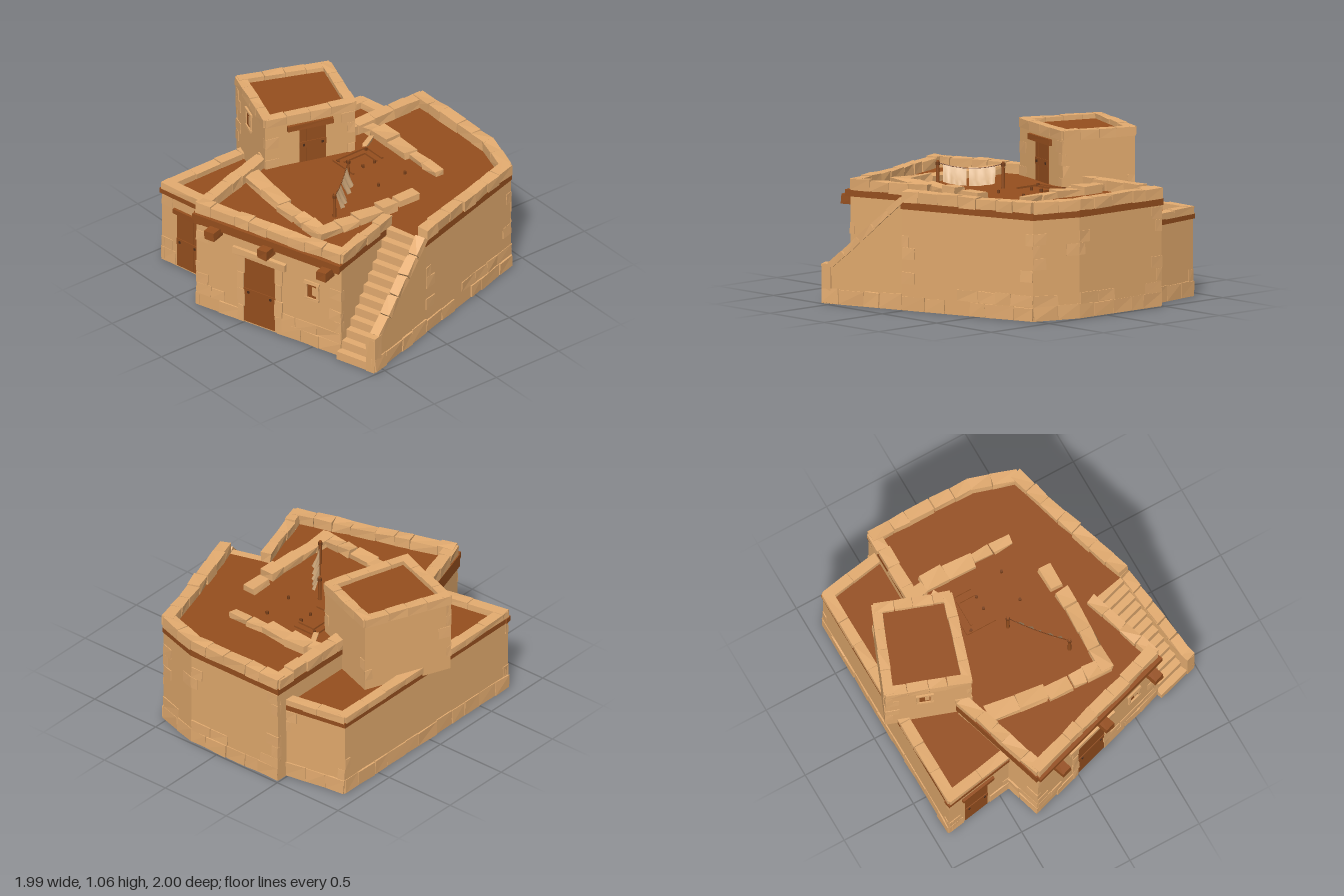
import * as THREE from 'three';

const mat = (name, color, side = THREE.FrontSide) => {
  const m = new THREE.MeshStandardMaterial({ color, side });
  m.name = name;
  return m;
};

export function createModel() {
  const root = new THREE.Group();
  root.name = 'adobeHouse';
  const plaster = mat('plaster', 0xe2aa6d);
  const stone = mat('stone', 0xe4ac70);
  const wood = mat('wood', 0x964f1e);
  const darkWood = mat('dark wood', 0x7a4019);
  const iron = mat('iron', 0x4a2b18);
  const cloth = mat('cloth', 0xdcb282, THREE.DoubleSide);

  let seed = 7;
  const rnd = () => (seed = (seed * 16807) % 2147483647) / 2147483647;
  const jit = a => (rnd() - 0.5) * 2 * a;
  const lerp = (a, b, t) => [a[0] + (b[0] - a[0]) * t, a[1] + (b[1] - a[1]) * t];
  const dist = (a, b) => Math.hypot(b[0] - a[0], b[1] - a[1]);
  const group = (name, parent = root) => {
    const g = new THREE.Group();
    g.name = name;
    parent.add(g);
    return g;
  };
  const add = (parent, name, geo, m) => {
    const mesh = new THREE.Mesh(geo, m);
    mesh.name = name;
    parent.add(mesh);
    return mesh;
  };

  // Box with slightly displaced corners, flat faces
  function roughBox(w, h, d, j) {
    const off = Array.from({ length: 8 }, () => [jit(j), jit(j), jit(j)]);
    const g = new THREE.BoxGeometry(w, h, d).toNonIndexed();
    const p = g.attributes.position;
    for (let i = 0; i < p.count; i++) {
      const x = p.getX(i), y = p.getY(i), z = p.getZ(i);
      const o = off[(x > 0) + 2 * (y > 0) + 4 * (z > 0)];
      p.setXYZ(i, x + o[0], y + o[1], z + o[2]);
    }
    g.computeVertexNormals();
    return g;
  }

  // Box on wall line a-b at fraction t; its outer face stands `out` beyond the line
  function onWall(parent, name, a, b, t, y0, y1, w, d, out, m, j = 0) {
    const c = lerp(a, b, t), L = dist(a, b);
    const nx = -(b[1] - a[1]) / L, nz = (b[0] - a[0]) / L, k = out - d / 2;
    const mesh = add(parent, name, roughBox(w, y1 - y0, d, j), m);
    mesh.position.set(c[0] + nx * k, (y0 + y1) / 2, c[1] + nz * k);
    mesh.rotation.y = -Math.atan2(b[1] - a[1], b[0] - a[0]);
    return mesh;
  }

  // Row of stones between fractions t0 and t1 of a wall line
  function course(parent, a, b, y0, y1, d, out, size = 0.13, t0 = 0, t1 = 1, keep = 1, j = 0.005, m = stone) {
    const L = dist(a, b), n = Math.max(1, Math.round(L * (t1 - t0) / size));
    const cuts = Array.from({ length: n + 1 }, (_, i) =>
      t0 + (t1 - t0) * (i + (i > 0 && i < n ? jit(0.18) : 0)) / n);
    for (let i = 0; i < n; i++) {
      if (rnd() > keep) continue;
      onWall(parent, 'stoneBlock', a, b, (cuts[i] + cuts[i + 1]) / 2, y0, y1 + jit(j),
        (cuts[i + 1] - cuts[i]) * L - 0.004, d, out + jit(j * 0.6), m, j);
    }
  }

  // A few alternating corner stones at both ends of a wall line
  function quoins(parent, a, b, y0, y1) {
    const L = dist(a, b), n = Math.round((y1 - y0) / 0.085), h = (y1 - y0) / n;
    for (let i = 0; i < n; i++) for (const e of [0, 1]) {
      if (rnd() > 0.35) continue;
      const w = (i + e) % 2 ? 0.05 : 0.09, t = w / 2 / L;
      onWall(parent, 'cornerStone', a, b, e ? 1 - t : t, y0 + i * h, y0 + (i + 1) * h - 0.004,
        w, 0.035, 0.005, stone, 0.003);
    }
  }

  // Move an outline outward by d
  function offset(pts, d) {
    const n = pts.length;
    const nor = (a, b) => [-(b[1] - a[1]) / dist(a, b), (b[0] - a[0]) / dist(a, b)];
    return pts.map((p, i) => {
      const u = nor(pts[(i + n - 1) % n], p), v = nor(p, pts[(i + 1) % n]);
      const k = d / (1 + u[0] * v[0] + u[1] * v[1]);
      return [p[0] + (u[0] + v[0]) * k, p[1] + (u[1] + v[1]) * k];
    });
  }

  // Upright prism from a plan outline
  function prism(parent, name, pts, y0, y1, m, hole) {
    const v = q => q.map(([x, z]) => new THREE.Vector2(x, -z));
    const s = new THREE.Shape(v(pts));
    if (hole) s.holes.push(new THREE.Path(v(hole)));
    const g = new THREE.ExtrudeGeometry(s, { depth: y1 - y0, bevelEnabled: false });
    g.rotateX(-Math.PI / 2).translate(0, y0, 0);
    return add(parent, name, g, m);
  }

  // Plank door, visible on both wall faces, with a cross bar and studs
  function door(parent, a, b, t, y0, y1, w) {
    const L = dist(a, b), n = 4;
    for (let i = 0; i < n; i++)
      onWall(parent, 'doorPlank', a, b, t + ((i + 0.5) / n - 0.5) * w / L, y0, y1, w / n - 0.001, 0.06, 0.004, wood);
    const yb = y0 + (y1 - y0) * 0.42;
    onWall(parent, 'doorBar', a, b, t, yb, yb + 0.045, w, 0.02, 0.009, wood);
    for (const s of [-0.35, 0.35])
      onWall(parent, 'doorStud', a, b, t + s * w / L, yb + 0.015, yb + 0.03, 0.014, 0.02, 0.014, iron);
  }

  // Small window: stone frame around a dark opening with a shutter
  function windowAt(parent, a, b, t, y0, y1, w) {
    const L = dist(a, b);
    onWall(parent, 'windowOpening', a, b, t, y0, y1, w, 0.05, 0.004, wood);
    onWall(parent, 'windowShutter', a, b, t + w * 0.2 / L, y0 + 0.02, y1 - 0.02, w * 0.4, 0.02, 0.007, stone);
    for (const s of [-1, 1])
      onWall(parent, 'windowJamb', a, b, t + s * (w / 2 + 0.006) / L, y0, y1, 0.016, 0.03, 0.012, stone, 0.002);
    onWall(parent, 'windowLintel', a, b, t, y1, y1 + 0.018, w + 0.04, 0.03, 0.014, stone, 0.002);
    onWall(parent, 'windowSill', a, b, t, y0 - 0.018, y0, w + 0.03, 0.03, 0.014, stone, 0.002);
  }

  // Main house, with a notch for the stairs
  const main = group('mainHouse');
  const M = [[-0.35, 0.94], [0.7, 0.61], [0.53, 0.08], [0.81, 0.02], [0.53, -0.885],
    [0.22, -0.98], [-0.49, -0.98], [-0.49, -0.3], [-0.55, 0.28]];
  const [A, B, , D] = M;
  prism(main, 'walls', M, 0, 0.65, plaster, offset(M, -0.04));
  prism(main, 'roof', offset(M, 0.008), 0.645, 0.69, wood);
  M.forEach((a, i) => {
    const b = M[(i + 1) % M.length];
    if (i === 2) return;
    course(main, a, b, 0.688, 0.757, i === 1 ? 0.062 : 0.08, 0.012);
    if (i === 1 || i === 6 || i === 7) return;
    for (const [t0, t1] of i ? [[0, 1]] : [[0, 0.32], [0.56, 1]]) {
      course(main, a, b, 0.005, 0.09, 0.035, 0.009, 0.15, t0, t1, 0.95, 0.004);
      course(main, a, b, 0.092, 0.165, 0.035, 0.006, 0.14, t0, t1, 0.65, 0.004);
    }
    quoins(main, a, b, 0.17, 0.64);
  });
  onWall(main, 'frontBeam', A, B, 0.5, 0.645, 0.688, 1.12, 0.06, 0.035, wood);
  onWall(main, 'frontLowerBeam', A, B, 0.5, 0.615, 0.647, 1.08, 0.04, 0.02, wood);
  onWall(main, 'sideBeam', M[8], A, 0.5, 0.6, 0.688, 0.7, 0.05, 0.016, wood);
  for (const t of [0.147, 0.51, 0.92])
    onWall(main, 'roofJoist', A, B, t, 0.585, 0.645, 0.072, 0.15, 0.1, wood, 0.003);
  door(main, A, B, 0.44, 0.01, 0.49, 0.24);
  onWall(main, 'doorLintel', A, B, 0.44, 0.49, 0.54, 0.4, 0.05, 0.022, stone, 0.004);
  for (const t of [0.31, 0.57]) for (let i = 0; i < 4; i++)
    onWall(main, 'doorJamb', A, B, t, 0.005 + i * 0.121, 0.122 + i * 0.121, 0.045 + (i % 2) * 0.012, 0.035, 0.011, stone, 0.003);
  windowAt(main, A, B, 0.8, 0.36, 0.46, 0.075);

  // Inner room: ground floor, its round hearth stone and back wall
  const R = [[-0.49, 0.3], [0.44, 0.54], [0.56, -0.55], [-0.32, -0.52]];
  prism(main, 'innerFloor', R, 0.005, 0.02, wood);
  add(main, 'hearthStone', new THREE.CylinderGeometry(0.12, 0.12, 0.022, 12), stone).position.set(0.05, 0.013, 0.05);
  for (let i = 0; i < 5; i++)
    course(main, R[2], R[3], 0.02 + i * 0.125, 0.145 + i * 0.125, 0.04, 0.01, 0.16, 0, 1, 1, 0.008, wood);

  // Stairs and their sloping outer wall
  const stairs = group('stairs');
  const S0 = [0.825, 0.615], S1 = [0.655, 0.05], steps = 12;
  const yaw = Math.atan2(S0[0] - S1[0], S0[1] - S1[1]);
  for (let i = 0; i < steps; i++) {
    const p = lerp(S0, S1, (i + 0.5) / steps), h = 0.69 * (i + 1) / steps;
    const s = add(stairs, 'step', new THREE.BoxGeometry(0.25, h, dist(S0, S1) / steps + 0.004), stone);
    s.position.set(p[0], h / 2, p[1]);
    s.rotation.y = yaw;
  }
  const K0 = [0.985, 0.575], K1 = D, KL = dist(K0, K1);
  const side = new THREE.Shape([[0, 0], [KL, 0], [KL, 0.7], [0.06, 0.235], [0, 0.235]].map(p => new THREE.Vector2(...p)));
  const curb = add(stairs, 'stairWall', new THREE.ExtrudeGeometry(side, { depth: 0.06, bevelEnabled: false }).translate(0, 0, -0.06), plaster);
  curb.position.set(K0[0], 0, K0[1]);
  curb.rotation.y = -Math.atan2(K1[1] - K0[1], K1[0] - K0[0]);
  for (let i = 0; i < 5; i++) {
    const t = 0.1 + (i + 0.5) * 0.18, y = 0.235 + 0.465 * (t * KL - 0.06) / (KL - 0.06);
    const cap = onWall(stairs, 'stairCap', K0, K1, t, y - 0.016, y + 0.026, 0.128, 0.068, 0.008, stone, 0.004);
    cap.rotation.order = 'YXZ';
    cap.rotation.z = Math.atan2(0.465, KL - 0.06);
  }
  onWall(stairs, 'stairPost', K0, K1, 0.06, 0.005, 0.255, 0.07, 0.07, 0.008, stone, 0.004);
  course(stairs, K0, K1, 0.005, 0.1, 0.035, 0.009, 0.15);

  // Low annex on the left
  const annex = group('annex');
  const N = [[-0.9, 0.78], [-0.42, 0.695], [-0.47, -0.9], [-0.908, -0.825]];
  prism(annex, 'annexWalls', N, 0, 0.5, plaster, offset(N, -0.04));
  prism(annex, 'annexRoof', offset(N, 0.008), 0.495, 0.53, wood);
  N.forEach((a, i) => {
    if (i === 1) return;
    const b = N[(i + 1) % 4];
    course(annex, a, b, 0.528, 0.572, 0.07, 0.01, 0.2, 0, 1, 1, 0.003);
    for (const [t0, t1] of i ? [[0, 1]] : [[0, 0.24], [0.67, 1]])
      course(annex, a, b, 0.005, 0.1, 0.035, 0.008, 0.15, t0, t1, 0.95, 0.004);
    quoins(annex, a, b, 0.1, 0.49);
  });
  onWall(annex, 'annexBeam', N[0], N[1], 0.48, 0.498, 0.53, 0.49, 0.05, 0.015, wood);
  door(annex, N[0], N[1], 0.45, 0.01, 0.39, 0.18);
  onWall(annex, 'annexLintel', N[0], N[1], 0.47, 0.39, 0.425, 0.25, 0.05, 0.018, wood, 0.003);

  // Upper room, turned on the roof
  const tower = group('upperRoom');
  const T = [[-0.988, 0.115], [-0.467, 0.297], [-0.29, -0.283], [-0.757, -0.45]];
  prism(tower, 'upperWalls', T, 0.51, 1.0, plaster);
  prism(tower, 'upperRoof', offset(T, -0.03), 1.0, 1.025, wood);
  T.forEach((a, i) => {
    const b = T[(i + 1) % 4];
    course(tower, a, b, 0.995, 1.055, 0.065, 0.01, 0.14, 0, 1, 1, 0.003);
    quoins(tower, a, b, 0.52, 0.99);
  });
  windowAt(tower, T[0], T[1], 0.46, 0.83, 0.93, 0.075);
  door(tower, T[1], T[2], 0.53, 0.69, 0.94, 0.18);
  onWall(tower, 'upperLintel', T[1], T[2], 0.5, 0.94, 0.98, 0.31, 0.04, 0.02, wood, 0.003);

  // Ruined low walls on the roof terrace
  const ruin = group('ruinedWalls');
  const low = (a, b, d, h, size) => course(ruin, a, b, 0.685, 0.69 + h, d, d / 2, size, 0, 1, 1, 0.008);
  low([-0.43, -0.49], [-0.36, -0.5], 0.08, 0.045, 0.08);
  low([-0.36, -0.515], [-0.2, -0.52], 0.105, 0.055, 0.16);
  low([-0.2, -0.515], [0.0, -0.505], 0.095, 0.05, 0.2);
  low([0.0, -0.515], [0.28, -0.515], 0.065, 0.035, 0.13);
  low([0.375, -0.09], [0.37, -0.25], 0.085, 0.035, 0.17);
  low([0.37, 0.55], [0.385, 0.06], 0.085, 0.05, 0.15);
  low([0.385, 0.06], [0.385, -0.06], 0.095, 0.05, 0.13);
  low([-0.43, 0.44], [-0.04, 0.48], 0.105, 0.05, 0.19);
  low([-0.04, 0.495], [0.4, 0.52], 0.09, 0.05, 0.16);
  const rubble = add(ruin, 'fallenStone', roughBox(0.03, 0.03, 0.11, 0.006), stone);
  rubble.position.set(-0.3, 0.703, -0.4);
  rubble.rotation.y = 0.5;

  // Roof hatch frame and loose pegs
  const hatch = group('roofHatch');
  const strip = (x, z, w, d) => add(hatch, 'hatchStrip', new THREE.BoxGeometry(w, 0.012, d), wood).position.set(x, 0.696, z);
  strip(-0.27, -0.23, 0.015, 0.27);
  strip(-0.19, -0.36, 0.17, 0.015);
  strip(-0.17, -0.1, 0.2, 0.012);
  strip(-0.22, -0.23, 0.012, 0.18);
  strip(-0.16, -0.31, 0.12, 0.012);
  for (const [x, z] of [[-0.25, -0.34], [-0.1, -0.29], [-0.1, -0.2], [-0.24, -0.11], [0.12, -0.36], [0.13, -0.14]])
    add(hatch, 'peg', new THREE.CylinderGeometry(0.01, 0.01, 0.03, 6), darkWood).position.set(x, 0.695, z);

  // Drying line: two posts, rope and hanging cloths
  const line = group('dryingLine');
  const P = [-0.025, 0.02 - 0.04], Q = [0.24, 0.3];
  for (const p of [P, Q]) {
    add(line, 'linePost', new THREE.CylinderGeometry(0.009, 0.013, 0.18, 6), wood).position.set(p[0], 0.77, p[1]);
    add(line, 'postTie', new THREE.CylinderGeometry(0.014, 0.014, 0.02, 6), darkWood).position.set(p[0], 0.84, p[1]);
  }
  const ropeY = t => 0.845 - 0.13 * t * (1 - t);
  const rope = new THREE.CatmullRomCurve3([0, 0.25, 0.5, 0.75, 1].map(t => {
    const p = lerp(P, Q, t);
    return new THREE.Vector3(p[0], ropeY(t), p[1]);
  }));
  add(line, 'rope', new THREE.TubeGeometry(rope, 12, 0.003, 5), darkWood);
  for (const [t0, t1] of [[0.12, 0.52], [0.56, 0.92]]) {
    const g = new THREE.PlaneGeometry(1, 1, 8, 3), p = g.attributes.position;
    for (let i = 0; i < p.count; i++) {
      const t = t0 + (t1 - t0) * (p.getX(i) + 0.5), drop = 0.5 - p.getY(i), c = lerp(P, Q, t);
      const fold = drop * (0.008 * Math.sin(t * 40) + 0.03);
      p.setXYZ(i, c[0] + fold, ropeY(t) + 0.004 - drop * 0.11, c[1] - fold);
    }
    g.computeVertexNormals();
    add(line, 'hangingCloth', g, cloth);
  }
  return root;
}
